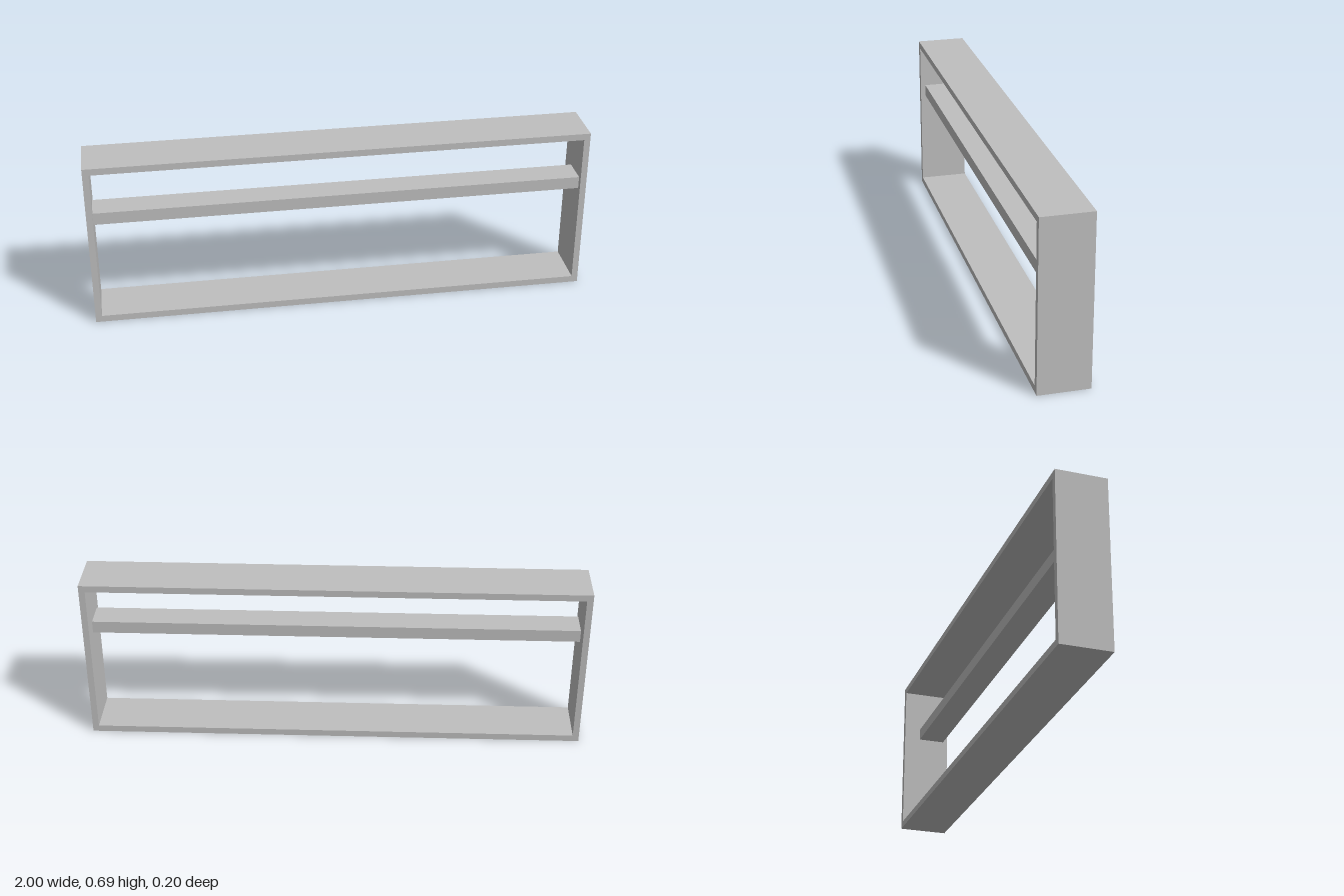
import * as THREE from 'three';

const WIDTH = 2, HEIGHT = 0.69, DEPTH = 0.203;
const SIDE = 0.025, EDGE = 0.027; // wall thickness: sides, top and bottom

// Rectangular outline from its corner coordinates
function rectangle(Type, x0, y0, x1, y1) {
  return new Type([
    new THREE.Vector2(x0, y0), new THREE.Vector2(x1, y0),
    new THREE.Vector2(x1, y1), new THREE.Vector2(x0, y1),
  ]);
}

export function createModel() {
  const model = new THREE.Group();
  model.name = 'openShelfFrame';
  const grey = new THREE.MeshStandardMaterial({ color: 0xbfbfbf });
  grey.name = 'plainGrey';

  // Outer frame, open at front and back
  const half = WIDTH / 2;
  const outline = rectangle(THREE.Shape, -half, 0, half, HEIGHT);
  outline.holes.push(rectangle(THREE.Path, -half + SIDE, EDGE, half - SIDE, HEIGHT - EDGE));
  const frameGeometry = new THREE.ExtrudeGeometry(outline, { depth: DEPTH, bevelEnabled: false });
  frameGeometry.translate(0, 0, -DEPTH / 2);
  const frame = new THREE.Mesh(frameGeometry, grey);
  frame.name = 'outerFrame';
  model.add(frame);

  // Cross rail between the sides, set toward the front
  const rail = new THREE.Mesh(new THREE.BoxGeometry(WIDTH - 2 * SIDE, 0.05, 0.112), grey);
  rail.name = 'crossRail';
  rail.position.set(0, 0.461, 0.025);
  model.add(rail);

  return model;
}
